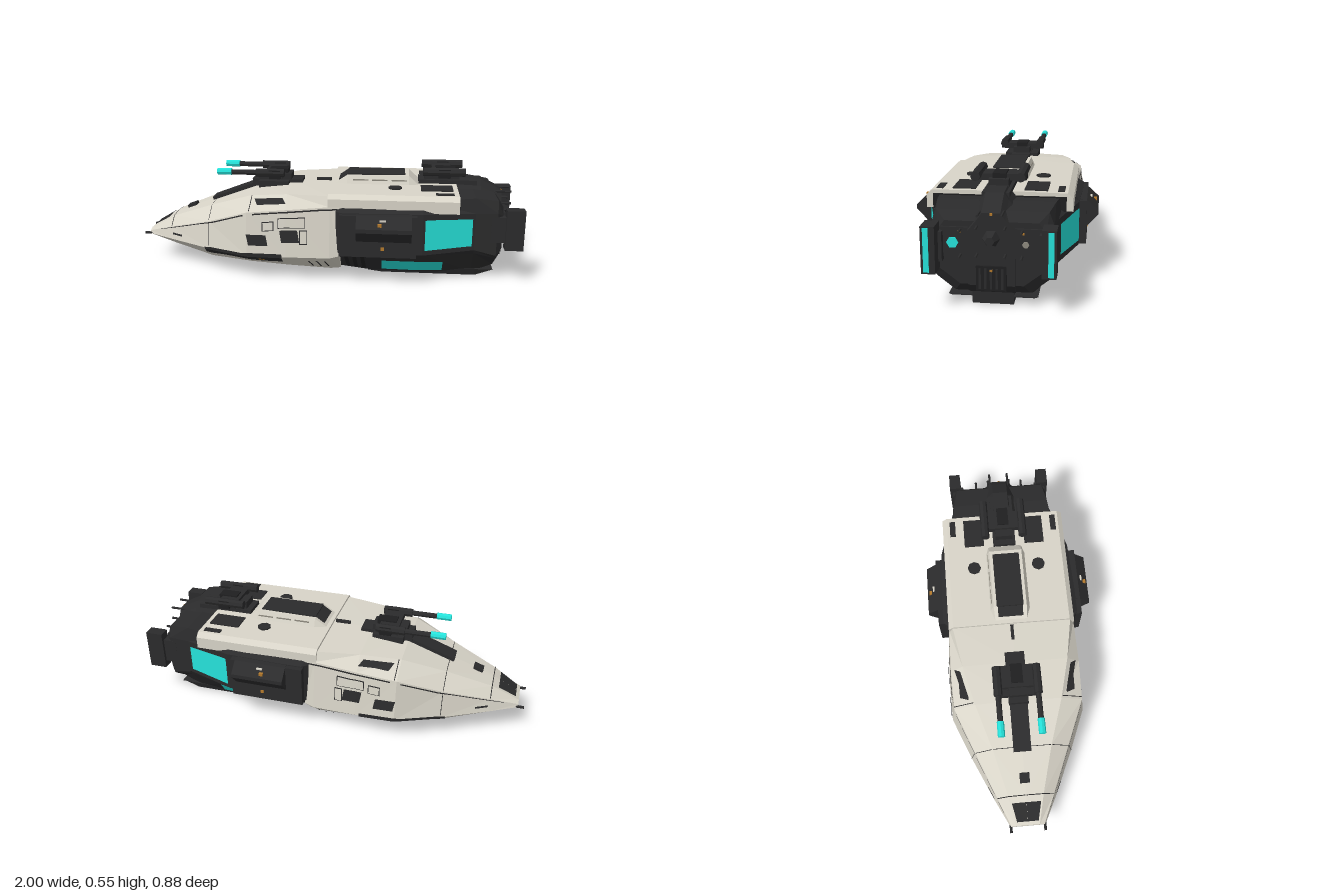
import * as THREE from 'three';

const mat = (name, color) => {
  const m = new THREE.MeshStandardMaterial({ color, flatShading: true });
  m.name = name;
  return m;
};

// Rings of half profiles [z, y] along x, mirrored across z = 0.
// Each section is [x, [z, y], ...] running from the top centre to the bottom centre.
function loft(sections) {
  const rings = sections.map(([x, ...half]) => {
    const back = half.slice(1, -1).reverse().map(([z, y]) => [-z, y]);
    return [...half, ...back].map(([z, y]) => [x, y, z]);
  });
  const pos = [], n = rings[0].length;
  for (let i = 0; i < rings.length - 1; i++) {
    for (let j = 0; j < n; j++) {
      const k = (j + 1) % n, a = rings[i], b = rings[i + 1];
      // the diagonal is mirrored on the far half so both flanks match
      if (j < n / 2) pos.push(...a[j], ...a[k], ...b[k], ...a[j], ...b[k], ...b[j]);
      else pos.push(...a[j], ...a[k], ...b[j], ...a[k], ...b[k], ...b[j]);
    }
  }
  const s = rings[0], e = rings[rings.length - 1];
  for (let j = 1; j < n - 1; j++) pos.push(...s[0], ...s[j + 1], ...s[j], ...e[0], ...e[j], ...e[j + 1]);
  return fromPositions(pos);
}

function fromPositions(pos) {
  const g = new THREE.BufferGeometry();
  g.setAttribute('position', new THREE.Float32BufferAttribute(pos, 3));
  g.computeVertexNormals();
  return g;
}

// Point on the triangles of a loft at x and profile position s
function surfacePoint(sections, x, s) {
  let i = 0;
  while (i < sections.length - 2 && x > sections[i + 1][0]) i++;
  const a = sections[i], b = sections[i + 1], t = (x - a[0]) / (b[0] - a[0]);
  const j = THREE.MathUtils.clamp(Math.floor(s), 0, a.length - 3), f = s - j;
  const at = c => {
    const [p, q, r, u] = [a[j + 1][c], a[j + 2][c], b[j + 2][c], b[j + 1][c]];
    return f >= t ? p + f * (q - p) + t * (r - q) : p + t * (u - p) + f * (r - u);
  };
  return new THREE.Vector3(x, at(1), at(0));
}

// Thin patch lying just above a loft surface; side = 1 or -1
function patch(sections, x0, x1, s0, s1, side, skew = 0, lift = 0.005) {
  const nx = 12, ns = 6, e = 0.004, pos = [];
  const P = (i, j) => {
    const s = s0 + (s1 - s0) * j / ns, x = x0 + (x1 - x0) * i / nx + skew * j / ns;
    const p = surfacePoint(sections, x, s);
    const ds = surfacePoint(sections, x, s + e).sub(surfacePoint(sections, x, s - e));
    const dx = surfacePoint(sections, x + e, s).sub(surfacePoint(sections, x - e, s));
    p.addScaledVector(ds.cross(dx).normalize(), lift);
    return [p.x, p.y, p.z * side];
  };
  for (let i = 0; i < nx; i++) for (let j = 0; j < ns; j++) {
    const a = P(i, j), b = P(i, j + 1), c = P(i + 1, j + 1), d = P(i + 1, j);
    if (side > 0) pos.push(...a, ...b, ...c, ...a, ...c, ...d);
    else pos.push(...a, ...c, ...b, ...a, ...d, ...c);
  }
  return fromPositions(pos);
}

const HULL = [
  [-0.97, [0, 0.17], [0.06, 0.17], [0.085, 0.16], [0.09, 0.145], [0.06, 0.135], [0, 0.135]],
  [-0.83, [0, 0.255], [0.09, 0.25], [0.145, 0.205], [0.16, 0.14], [0.1, 0.1], [0, 0.1]],
  [-0.6, [0, 0.34], [0.15, 0.335], [0.24, 0.27], [0.265, 0.13], [0.18, 0.062], [0, 0.06]],
  [-0.38, [0, 0.42], [0.22, 0.41], [0.33, 0.35], [0.355, 0.13], [0.23, 0.056], [0, 0.053]],
  [-0.18, [0, 0.442], [0.27, 0.435], [0.335, 0.37], [0.36, 0.13], [0.25, 0.05], [0, 0.045]],
  [0.04, [0, 0.445], [0.31, 0.44], [0.33, 0.39], [0.355, 0.13], [0.25, 0.04], [0, 0.038]],
  [0.09, [0, 0.445], [0.31, 0.44], [0.33, 0.39], [0.345, 0.14], [0.24, 0.042], [0, 0.04]],
];
const block = (x, t, wt, w, y1, y0, wl, yb) =>
  [x, [0, t], [wt, t], [w, y1], [w, y0], [wl, y0 - 0.02], [wl * 0.68, yb], [0, yb]];
const ENGINE = [
  block(0.07, 0.4, 0.29, 0.335, 0.37, 0.16, 0.31, 0.045),
  block(0.1, 0.41, 0.29, 0.36, 0.37, 0.16, 0.3, 0.04),
  block(0.24, 0.41, 0.29, 0.36, 0.37, 0.16, 0.28, 0.018),
  block(0.5, 0.42, 0.29, 0.35, 0.37, 0.16, 0.28, 0.015),
  block(0.76, 0.435, 0.26, 0.272, 0.36, 0.17, 0.26, 0.02),
  block(0.87, 0.42, 0.24, 0.262, 0.36, 0.14, 0.24, 0.06),
  block(0.9, 0.38, 0.2, 0.23, 0.34, 0.17, 0.2, 0.1),
];

export function createModel() {
  const ship = new THREE.Group();
  ship.name = 'spaceship';
  const white = mat('hullWhite', 0xd8d4c8), dark = mat('charcoal', 0x2b2b2c), black = mat('black', 0x1f1f20);
  const cyan = mat('glowCyan', 0x26e2da), orange = mat('amber', 0xb47a2c), grey = mat('panelGrey', 0x8d897e);

  const add = (name, geo, m, parent = ship) => {
    const mesh = new THREE.Mesh(geo, m);
    mesh.name = name;
    parent.add(mesh);
    return mesh;
  };
  const box = (name, m, x0, x1, y0, y1, z0, z1, parent) => {
    const b = add(name, new THREE.BoxGeometry(x1 - x0, y1 - y0, z1 - z0), m, parent);
    b.position.set((x0 + x1) / 2, (y0 + y1) / 2, (z0 + z1) / 2);
    return b;
  };
  const rod = (name, m, x0, x1, y, z, r, parent, segments = 8) => {
    const c = add(name, new THREE.CylinderGeometry(r, r, x1 - x0, segments), m, parent);
    c.rotation.z = Math.PI / 2;
    c.position.set((x0 + x1) / 2, y, z);
  };
  const sides = f => [1, -1].forEach(f);
  const pairBox = (name, m, x0, x1, y0, y1, z0, z1) => sides(s =>
    box(name, m, x0, x1, y0, y1, Math.min(s * z0, s * z1), Math.max(s * z0, s * z1)));
  const marks = (name, m, sec, list, lift) => list.forEach(([x0, x1, s0, s1, skew]) => sides(s =>
    add(name, patch(sec, x0, x1, s0, s1, s, skew, lift), m)));

  // Fore hull and long roof deck
  add('foreHull', loft(HULL), white);
  const deck = x => [x, [0, 0.456], [0.305, 0.452], [0.33, 0.43], [0.33, 0.37], [0, 0.37]];
  add('roofDeck', loft([deck(0.03), deck(0.675)]), white);
  box('deckUnderside', black, 0.62, 0.679, 0.368, 0.436, -0.3, 0.3);

  // Hull markings: nose window, shoulder vents, side hatches, lower window band
  marks('noseWindow', dark, HULL, [[-0.95, -0.86, 0, 0.85]]);
  marks('shoulderVent', dark, HULL, [[-0.35, -0.2, 1.25, 1.65, 0.02]]);
  marks('sideHatch', dark, HULL, [[-0.38, -0.28, 2.5, 2.75, 0.01], [-0.21, -0.12, 2.42, 2.68, 0.01]], 0.007);
  marks('lowerWindow', dark, HULL, [[-0.62, -0.2, 2.93, 3.45]]);
  const panels = [[-0.3, -0.24, 2.22, 2.42], [-0.22, -0.08, 2.16, 2.38], [-0.11, -0.07, 2.42, 2.72],
    [-0.5, -0.4, 4.3, 4.6], [-0.1, -0.06, 4.3, 4.45]];
  marks('panelOutline', dark, HULL, panels, 0.002);
  marks('panel', white, HULL, panels.map(([a, b, c, d]) => [a + 0.004, b - 0.004, c + 0.018, d - 0.018]), 0.005);
  marks('noseSlit', dark, HULL, [[-0.82, -0.76, 2.45, 2.6]]);
  marks('hullSlat', dark, HULL, [-0.07, -0.03, 0.01].map(x => [x, x + 0.008, 3.2, 3.7, 0.02]));
  marks('seam', dark, HULL, [[-0.9, 0.08, 2.03, 2.06], [-0.6, -0.597, 0.02, 0.98], [-0.6, -0.597, 1.02, 1.98],
    [-0.6, -0.597, 2.02, 2.9], [-0.37, -0.366, 1.02, 1.98], [-0.83, -0.826, 0.02, 1.95]], 0.003);
  marks('bandLight', orange, HULL, [[-0.32, -0.29, 3.12, 3.25]], 0.008);
  box('noseHatch', dark, -0.77, -0.72, 0.27, 0.3, -0.025, 0.025).rotation.z = 0.36;
  sides(s => rod('noseProng', dark, -1, -0.9, 0.147, s * 0.088, 0.007));

  // Roof hatch with dark skylight
  const hatch = (x, z, y) => [x, [0, y], [z * 0.82, y], [z, 0.45], [0, 0.45]];
  add('roofHatch', loft([hatch(0.05, 0.1, 0.455), hatch(0.11, 0.105, 0.495), hatch(0.43, 0.105, 0.5),
    hatch(0.48, 0.09, 0.455)]), white);
  box('skylight', dark, 0.11, 0.41, 0.496, 0.504, -0.07, 0.07);
  box('skylightFront', dark, 0.06, 0.115, 0.478, 0.484, -0.065, 0.065).rotation.z = 0.6;
  sides(s => [0.14, 0.24, 0.34].forEach(x =>
    box('hatchSlit', grey, x, x + 0.08, 0.472, 0.478, s * 0.095 - 0.003, s * 0.095 + 0.003)));
  sides(s => {
    const port = add('deckPort', new THREE.CylinderGeometry(0.035, 0.035, 0.008, 8), dark);
    port.position.set(0.36, 0.457, s * 0.172);
  });
  box('deckMark', dark, -0.06, 0.02, 0.447, 0.46, -0.008, 0.008);
  pairBox('aftDeckPlate', dark, 0.49, 0.65, 0.452, 0.459, 0.11, 0.215);
  pairBox('deckCornerVent', dark, 0.56, 0.65, 0.45, 0.457, 0.26, 0.29);

  // Engine block with glowing panels
  add('engineBlock', loft(ENGINE), dark);
  marks('sideGlow', cyan, ENGINE, [[0.51, 0.745, 2.14, 2.88]]);
  marks('lowerGlow', cyan, ENGINE, [[0.3, 0.61, 4.38, 4.88]]);
  marks('engineVent', black, ENGINE, [0.11, 0.15, 0.19].map(x => [x, x + 0.02, 4.15, 4.85, 0.01]));
  const keel = (x, y) => [x, [0, 0.04], [0.195, 0.04], [0.18, y], [0, y]];
  add('keel', loft([keel(0.23, 0.012), keel(0.3, 0.003), keel(0.78, 0.003), keel(0.87, 0.035)]), dark);
  pairBox('keelGlow', cyan, 0.32, 0.6, 0, 0.008, 0.1, 0.165);
  pairBox('keelTailGlow', cyan, 0.795, 0.801, 0.006, 0.02, 0.1, 0.17);
  box('keelTail', dark, 0.74, 0.87, 0.002, 0.07, -0.09, 0.09);

  // Side pods, wedge shaped towards the outside
  sides(s => {
    const shape = new THREE.Shape([[0.33, 0.37], [0.385, 0.365], [0.44, 0.315], [0.44, 0.295], [0.385, 0.235],
      [0.33, 0.235]].map(([z, y]) => new THREE.Vector2(-s * z, y)));
    const pod = add('sidePod', new THREE.ExtrudeGeometry(shape, { depth: 0.27, bevelEnabled: false }), dark);
    pod.rotation.y = Math.PI / 2;
    pod.position.x = 0.175;
    box('podLight', orange, 0.28, 0.3, 0.322, 0.338, s * 0.422 - 0.008, s * 0.422 + 0.008);
    box('lowLight', orange, 0.297, 0.313, 0.192, 0.208, s * 0.385 - 0.004, s * 0.385 + 0.004);
    box('podSlit', white, 0.29, 0.32, 0.345, 0.352, s * 0.401 - 0.008, s * 0.401 + 0.008);
  });
  pairBox('podBase', dark, 0.09, 0.47, 0.155, 0.365, 0.33, 0.385);

  // Stern: spine, framed plates, thruster fins and antennae
  const spine = (x, t, b) => [x, [0, t], [0.04, t], [0.06, t - 0.03], [0.1, t - 0.08], [0.1, b], [0, b]];
  add('sternSpine', loft([spine(0.66, 0.485, 0.2), spine(0.8, 0.48, 0.06), spine(0.88, 0.44, 0.06),
    spine(0.91, 0.42, 0.1)]), dark);
  box('sternGrille', black, 0.9, 0.92, 0.08, 0.19, -0.065, 0.065);
  for (let i = -2; i <= 2; i++) box('grilleBar', dark, 0.915, 0.926, 0.09, 0.18, i * 0.024 - 0.005, i * 0.024 + 0.005);
  const cone = add('sternNozzle', new THREE.CylinderGeometry(0.02, 0.04, 0.05, 6), dark);
  cone.rotation.z = -Math.PI / 2;
  cone.position.set(0.93, 0.31, 0);
  box('sternLightHigh', orange, 0.905, 0.914, 0.41, 0.42, -0.006, 0.006);
  box('sternLightLow', orange, 0.918, 0.928, 0.168, 0.178, -0.006, 0.006);
  pairBox('sternPlate', dark, 0.88, 0.91, 0.225, 0.355, 0.1, 0.215);
  rod('sternPortLeft', cyan, 0.905, 0.914, 0.288, 0.165, 0.026, ship, 6);
  rod('sternPortRight', grey, 0.905, 0.914, 0.288, -0.145, 0.015, ship, 6);
  sides(s => {
    box('sternFin', dark, 0.91, 1, 0.175, 0.38, s * 0.25 - 0.03, s * 0.25 + 0.03);
    box('finArm', dark, 0.84, 0.94, 0.21, 0.34, s * 0.235 - 0.03, s * 0.235 + 0.03);
    box('finGlow', cyan, 0.994, 1.001, 0.182, 0.374, s * 0.258 - 0.012, s * 0.258 + 0.012);
    box('plateLight', orange, 0.905, 0.914, 0.33, 0.34, s * 0.135 - 0.005, s * 0.135 + 0.005);
    for (const [z, y] of [[0.06, 0.36], [0.06, 0.24], [0.13, 0.345], [0.13, 0.235], [0.05, 0.42]])
      rod('antenna', dark, 0.86, 0.96, y, s * z, 0.006, ship, 6);
  });

  // Twin-barrel turret; x is its centre
  const turret = (name, x, y, front, rear) => {
    const g = new THREE.Group();
    g.name = name;
    ship.add(g);
    box('turretMount', dark, x - 0.09, x + 0.09, 0.43, y - 0.01, -0.045, 0.045, g);
    box('turretBridge', dark, x - 0.05, x + 0.05, y - 0.025, y + 0.005, -0.1, 0.1, g);
    box('turretHead', black, x - 0.03, x + 0.07, y - 0.02, y + 0.012, -0.03, 0.03, g);
    sides(s => {
      rod('gunBody', dark, front, rear, y + 0.005, s * 0.1, 0.022, g);
      box('gunClamp', black, x - 0.02, x + 0.04, y - 0.025, y + 0.02, s * 0.1 - 0.018, s * 0.1 + 0.018, g);
    });
    return g;
  };
  const fore = turret('foreTurret', -0.28, 0.498, -0.37, -0.22);
  sides(s => {
    rod('gunBarrel', dark, -0.52, -0.35, 0.503, s * 0.1, 0.014, fore);
    rod('gunTip', cyan, -0.575, -0.5, 0.505, s * 0.1, 0.018, fore);
  });
  box('turretRail', dark, -0.63, -0.36, 0.375, 0.395, -0.045, 0.045).rotation.z = 0.36;
  box('turretBase', dark, -0.4, -0.13, 0.42, 0.458, -0.05, 0.05);
  pairBox('turretFoot', dark, -0.36, -0.2, 0.42, 0.455, 0.05, 0.09);
  turret('aftTurret', 0.6, 0.522, 0.5, 0.715);
  box('aftTurretBase', dark, 0.48, 0.78, 0.44, 0.475, -0.06, 0.06);

  return ship;
}
